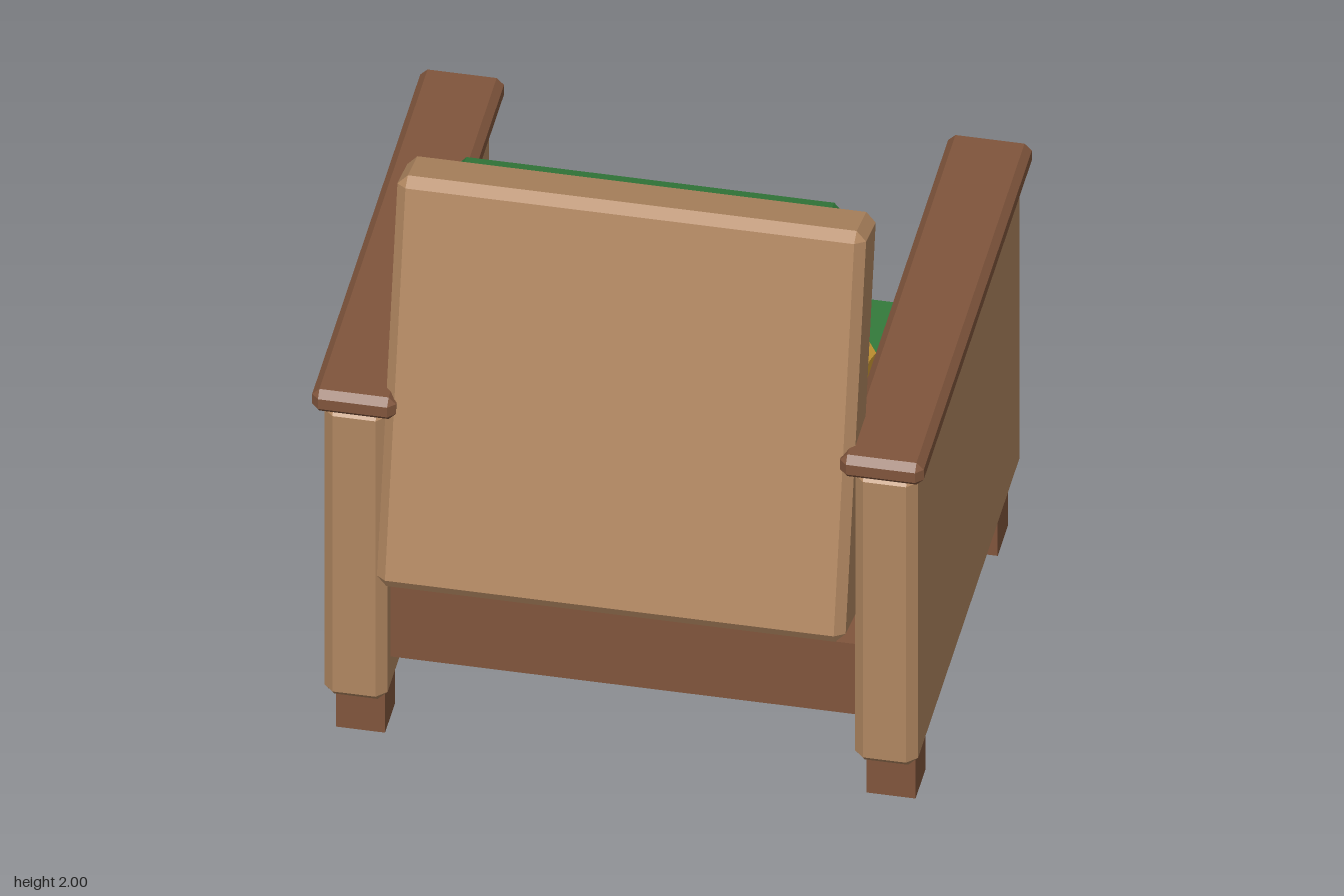
import * as THREE from 'three';
import { ConvexGeometry } from 'three/addons/geometries/ConvexGeometry.js';

const material = (color) => new THREE.MeshStandardMaterial({ color, flatShading: true });

// Box whose edges and corners are cut flat by c
function chamferBox(w, h, d, c) {
  const points = [];
  for (const sx of [-1, 1]) for (const sy of [-1, 1]) for (const sz of [-1, 1]) {
    const x = w / 2, y = h / 2, z = d / 2;
    points.push(
      new THREE.Vector3(sx * x, sy * (y - c), sz * (z - c)),
      new THREE.Vector3(sx * (x - c), sy * y, sz * (z - c)),
      new THREE.Vector3(sx * (x - c), sy * (y - c), sz * z));
  }
  return new ConvexGeometry(points);
}

export function createModel() {
  const model = new THREE.Group();
  model.name = 'armchair';
  const panelWood = material(0xb08660);
  const darkWood = material(0x80553c);
  const green = material(0x337a3b);
  const yellow = material(0xd9a437);

  function add(parent, name, geometry, mat, x, y, z) {
    const mesh = new THREE.Mesh(geometry, mat);
    mesh.name = name;
    mesh.position.set(x, y, z);
    parent.add(mesh);
    return mesh;
  }

  // Sides: panel, armrest and two legs each
  for (const s of [-1, 1]) {
    const side = s > 0 ? 'left' : 'right';
    add(model, side + 'Panel', chamferBox(0.19, 1.08, 1.55, 0.03), panelWood, s * 0.798, 0.713, -0.055);
    add(model, side + 'Armrest', chamferBox(0.252, 0.08, 1.63, 0.022), darkWood, s * 0.794, 1.292, -0.055);
    for (const z of [0.55, -0.655]) {
      add(model, side + 'Leg', new THREE.BoxGeometry(0.148, 0.2, 0.148), darkWood, s * 0.798, 0.1, z);
    }
  }

  // Seat base and cushion
  add(model, 'seatFrame', new THREE.BoxGeometry(1.42, 0.26, 1.31), darkWood, 0, 0.435, -0.005);
  add(model, 'seatCushion', chamferBox(1.41, 0.355, 1.22, 0.083), green, 0, 0.7525, -0.005);

  // Tilted backrest with its cushion
  const backrest = new THREE.Group();
  backrest.name = 'backrest';
  backrest.position.set(0, 1.34, 0.615);
  backrest.rotation.x = -0.24;
  model.add(backrest);
  add(backrest, 'backPanel', chamferBox(1.41, 1.325, 0.205, 0.03), panelWood, 0, 0, 0);
  add(backrest, 'backCushion', chamferBox(1.29, 1.09, 0.28, 0.092), green, 0, 0.071, -0.166);

  // Loose pillow leaning in the corner
  const pillow = add(model, 'pillow', chamferBox(0.56, 0.5, 0.22, 0.08), yellow, 0.355, 1.17, 0.19);
  pillow.rotation.set(-0.2, -0.14, -0.18);

  return model;
}
